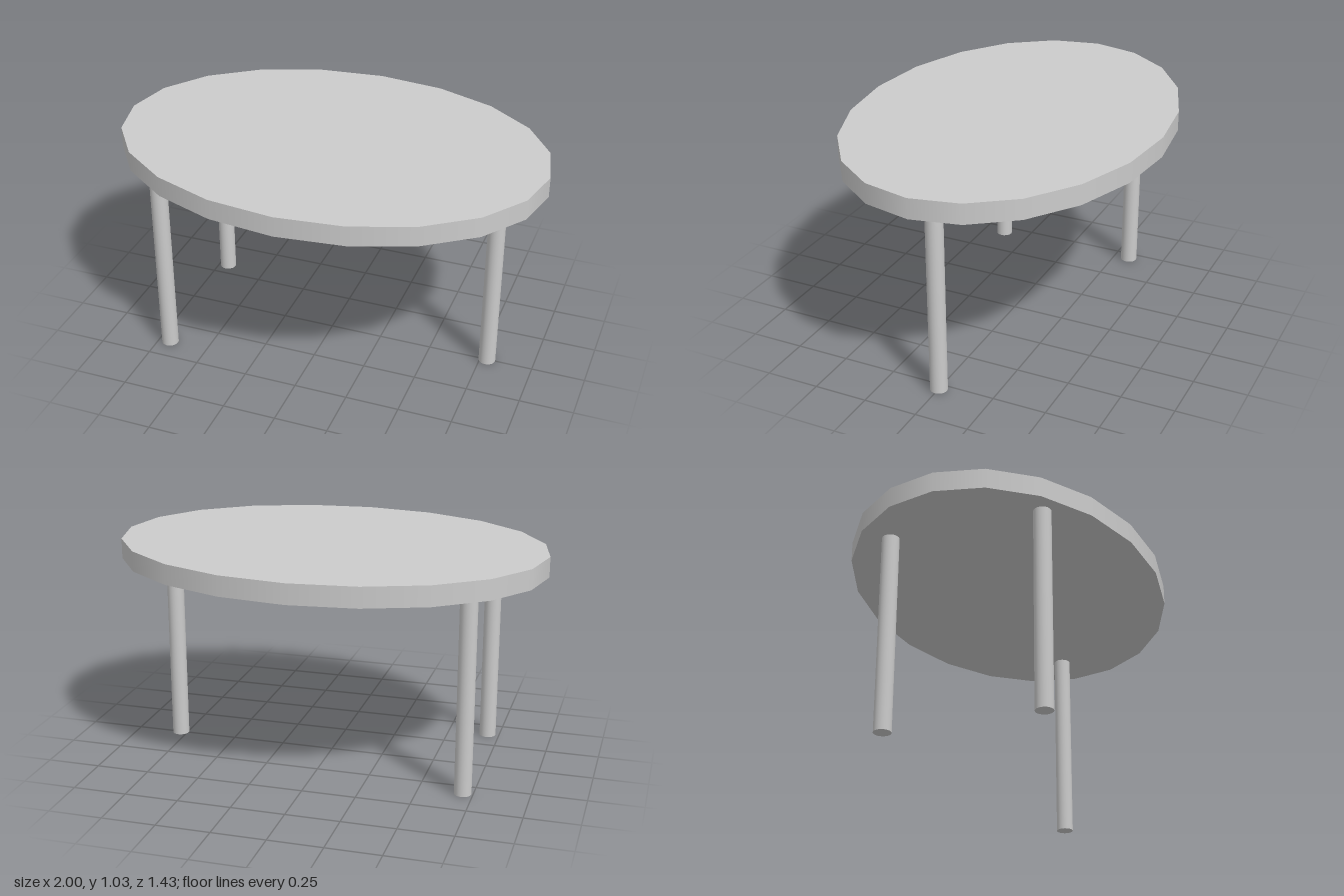
import * as THREE from 'three';

const UNDERSIDE = 0.94, TOP = 1.034;

export function createModel() {
  const group = new THREE.Group();
  const material = new THREE.MeshStandardMaterial({ color: 0xcccccc });

  // Upright cylinder between two heights
  const post = (name, radius, bottom, top, x, z) => {
    const geometry = new THREE.CylinderGeometry(radius, radius, top - bottom, 20);
    const mesh = new THREE.Mesh(geometry, material);
    mesh.name = name;
    mesh.position.set(x, (bottom + top) / 2, z);
    group.add(mesh);
    return mesh;
  };

  // Oval tabletop: a 20-sided disc squeezed front to back
  post('tabletop', 1, UNDERSIDE, TOP, 0, 0).geometry.scale(1, 1, 0.714);

  // Three round legs
  const legs = [
    ['leftLeg', 0.783, 0],
    ['rightFrontLeg', -0.693, 0.386],
    ['rightBackLeg', -0.703, -0.327],
  ];
  for (const [name, x, z] of legs) post(name, 0.04, 0, UNDERSIDE, x, z);

  return group;
}
